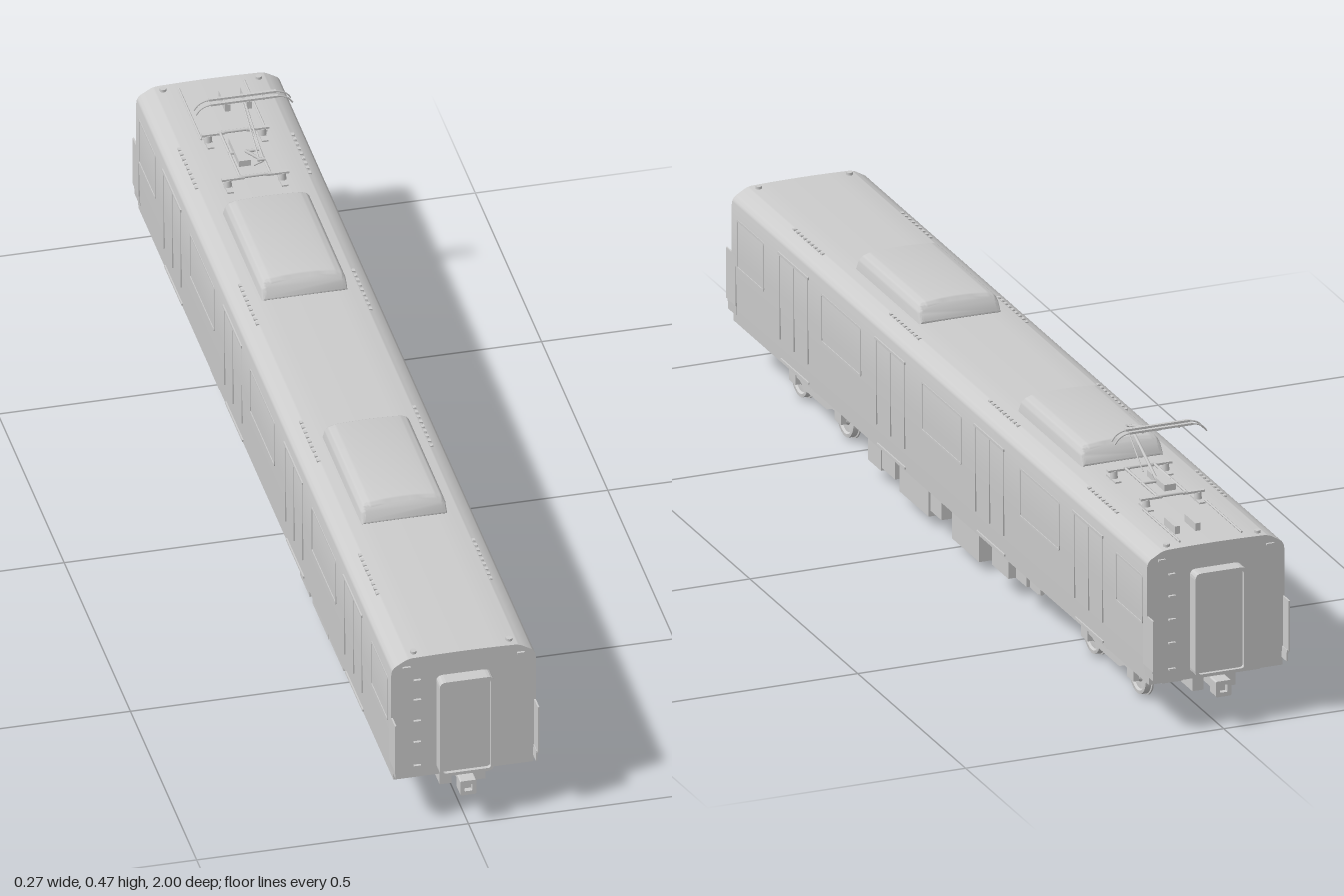
import * as THREE from 'three';
import { toCreasedNormals } from 'three/addons/utils/BufferGeometryUtils.js';

const mat = new THREE.MeshStandardMaterial({ color: 0xcccccc });
const V = (x, y, z) => new THREE.Vector3(x, y, z);

function add(parent, name, geo, x = 0, y = 0, z = 0) {
  const m = new THREE.Mesh(geo, mat);
  m.name = name;
  m.position.set(x, y, z);
  parent.add(m);
  return m;
}
// box given by its limits on each axis
function box(parent, name, x0, x1, y0, y1, z0, z1) {
  return add(parent, name, new THREE.BoxGeometry(Math.abs(x1 - x0), Math.abs(y1 - y0), Math.abs(z1 - z0)),
    (x0 + x1) / 2, (y0 + y1) / 2, (z0 + z1) / 2);
}
// round bar between two points
function rod(parent, name, a, b, r, sides = 8) {
  const d = b.clone().sub(a);
  const m = add(parent, name, new THREE.CylinderGeometry(r, r, d.length(), sides));
  m.position.copy(a).addScaledVector(d, 0.5);
  m.quaternion.setFromUnitVectors(V(0, 1, 0), d.normalize());
  return m;
}
function group(parent, name) {
  const g = new THREE.Group();
  g.name = name;
  parent.add(g);
  return g;
}
function rectShape(w, h, r) {
  const s = new THREE.Shape(), x = w / 2, y = h / 2;
  s.moveTo(-x + r, -y).lineTo(x - r, -y).quadraticCurveTo(x, -y, x, -y + r);
  s.lineTo(x, y - r).quadraticCurveTo(x, y, x - r, y).lineTo(-x + r, y);
  s.quadraticCurveTo(-x, y, -x, y - r).lineTo(-x, -y + r).quadraticCurveTo(-x, -y, -x + r, -y);
  return s;
}
function frameGeo(w, h, t, r, depth) {
  const s = rectShape(w, h, r);
  s.holes.push(rectShape(w - 2 * t, h - 2 * t, Math.max(r - t, 0.001)));
  return new THREE.ExtrudeGeometry(s, { depth, bevelEnabled: false, curveSegments: 4 });
}

// Car body: one cross-section drawn along z
function carBody(root) {
  const s = new THREE.Shape();
  s.moveTo(-0.129, 0.09).lineTo(0.129, 0.09).lineTo(0.1305, 0.13).lineTo(0.133, 0.22).lineTo(0.133, 0.312);
  s.quadraticCurveTo(0.133, 0.324, 0.125, 0.33).lineTo(0.108, 0.34).quadraticCurveTo(0.1, 0.344, 0.09, 0.344);
  s.quadraticCurveTo(0, 0.347, -0.09, 0.344);
  s.quadraticCurveTo(-0.1, 0.344, -0.108, 0.34).lineTo(-0.125, 0.33).quadraticCurveTo(-0.133, 0.324, -0.133, 0.312);
  s.lineTo(-0.133, 0.22).lineTo(-0.1305, 0.13);
  const geo = new THREE.ExtrudeGeometry(s, { depth: 1.925, bevelEnabled: false, curveSegments: 6 });
  add(root, 'carBody', toCreasedNormals(geo, 0.5), 0, 0, -0.9625);
}

// Windows, doors and roof vents of one side, built facing +x
function bodySide(root, side) {
  const g = group(root, side > 0 ? 'leftSide' : 'rightSide');
  const window = (z, w) => {
    const f = add(g, 'windowFrame', frameGeo(w, 0.095, 0.004, 0.006, 0.0015), side * 0.1325, 0.247, z);
    f.rotation.y = side * Math.PI / 2;
  };
  for (const z of [0.455, -0.01, -0.465]) window(z, 0.185);
  for (const z of [0.875, -0.88]) window(z, 0.125);
  for (const z of [0.675, 0.228, -0.232, -0.69]) {
    const a = side * 0.131, b = side * 0.1338;
    for (const e of [-0.065, 0, 0.065]) box(g, 'doorEdge', a, b, 0.135, 0.3, z + e - 0.001, z + e + 0.001);
    box(g, 'doorRail', a, side * 0.1355, 0.298, 0.303, z - 0.07, z + 0.07);
    box(g, 'doorStep', side * 0.128, side * 0.132, 0.095, 0.099, z - 0.065, z + 0.065);
    for (let i = -4; i <= 4; i++)
      box(g, 'roofVent', side * 0.101, side * 0.107, 0.34, 0.344, z + i * 0.016 - 0.004, z + i * 0.016 + 0.004);
  }
}

// One end of the car, built facing +z
function carEnd(root, name) {
  const g = group(root, name);
  // gangway with a raised rim and inset door
  add(g, 'gangwayRim', frameGeo(0.1, 0.2, 0.006, 0.012, 0.028), 0, 0.2, 0.961);
  box(g, 'gangwayDoor', -0.045, 0.045, 0.105, 0.295, 0.96, 0.982);
  for (const s of [-1, 1]) {
    box(g, 'cornerGuard', s * 0.13, s * 0.133, 0.125, 0.222, 0.945, 0.99);
    const low = box(g, 'cornerGuardFoot', s * 0.128, s * 0.131, 0.105, 0.126, 0.945, 0.985);
    low.rotation.z = s * -0.06;
    box(g, 'marker', s * 0.098, s * 0.112, 0.324, 0.328, 0.96, 0.967);
    add(g, 'roofLug', new THREE.CylinderGeometry(0.006, 0.006, 0.006, 10), s * 0.088, 0.346, 0.945);
    box(g, 'couplerBracket', s * 0.02, s * 0.042, 0.062, 0.092, 0.9, 0.955);
    box(g, 'pipeBracket', s * 0.055, s * 0.095, 0.079, 0.09, 0.9, 0.94);
  }
  for (const y of [0.115, 0.165, 0.21, 0.255, 0.297])
    box(g, 'ladderRung', -0.092, -0.079, y - 0.0015, y + 0.0015, 0.96, 0.968);
  // coupler
  box(g, 'drawbar', -0.01, 0.01, 0.069, 0.085, 0.83, 0.975);
  add(g, 'couplerHead', frameGeo(0.03, 0.03, 0.008, 0.003, 0.027), 0, 0.077, 0.973);
  box(g, 'couplerFace', -0.009, 0.009, 0.07, 0.084, 0.972, 0.99);
  box(g, 'couplerCrossbeam', -0.045, 0.045, 0.08, 0.092, 0.86, 0.93);
  return g;
}

// Rounded roof unit with sloping ends
function airConditioner(root, z0, z1) {
  const s = new THREE.Shape(), len = z1 - z0, bevel = 0.008;
  s.moveTo(-0.079, 0).lineTo(0.079, 0).lineTo(0.078, 0.018).quadraticCurveTo(0.075, 0.034, 0.058, 0.036);
  s.quadraticCurveTo(0, 0.042, -0.058, 0.036).quadraticCurveTo(-0.075, 0.034, -0.078, 0.018);
  const geo = new THREE.ExtrudeGeometry(s, {
    depth: len - 2 * bevel, bevelThickness: bevel, bevelSize: bevel, bevelOffset: -bevel, bevelSegments: 4, curveSegments: 8
  });
  geo.translate(0, 0, bevel - len / 2);
  const p = geo.attributes.position;
  for (let i = 0; i < p.count; i++) p.setZ(i, p.getZ(i) * (1 - 3.6 * p.getY(i)));
  add(root, 'airConditioner', toCreasedNormals(geo, 0.7), 0, 0.344, (z0 + z1) / 2);
}

// Two-axle bogie
function bogie(root, z) {
  const g = group(root, 'bogie');
  g.position.z = z;
  box(g, 'bolster', -0.055, 0.055, 0.055, 0.091, -0.035, 0.035);
  // tread and flange profile, turned around the axle
  const wheel = [[0.008, 0.008], [0.014, 0.008], [0.018, 0.003], [0.031, 0.003], [0.034, 0.007], [0.04, 0.007],
    [0.0405, -0.004], [0.043, -0.005], [0.043, -0.008], [0.034, -0.007], [0.031, -0.003], [0.008, -0.003]]
    .map(([r, h]) => new THREE.Vector2(r, h)).reverse();
  const wheelGeo = toCreasedNormals(new THREE.LatheGeometry(wheel, 28), 0.5);
  for (const e of [-0.106, 0.106]) {
    rod(g, 'axle', V(-0.09, 0.043, e), V(0.09, 0.043, e), 0.0085, 12);
    for (const s of [-1, 1]) {
      add(g, 'wheel', wheelGeo, s * 0.071, 0.043, e).rotation.z = -s * Math.PI / 2;
      box(g, 'axleBox', s * 0.081, s * 0.092, 0.032, 0.058, e - 0.015, e + 0.015);
    }
  }
  // side frame, dropped in the middle
  const f = new THREE.Shape();
  f.moveTo(-0.115, 0.048).lineTo(-0.075, 0.046).lineTo(-0.05, 0.036).lineTo(0.05, 0.036).lineTo(0.075, 0.046);
  f.lineTo(0.115, 0.048).lineTo(0.115, 0.062).lineTo(0.07, 0.062).lineTo(0.045, 0.056);
  f.lineTo(-0.045, 0.056).lineTo(-0.07, 0.062).lineTo(-0.115, 0.062);
  const frame = new THREE.ExtrudeGeometry(f, { depth: 0.008, bevelEnabled: false });
  for (const s of [-1, 1]) {
    add(g, 'sideFrame', frame, s * 0.086 - 0.004, 0, 0).rotation.y = Math.PI / 2;
    rod(g, 'airSpring', V(s * 0.08, 0.055, 0), V(s * 0.08, 0.091, 0), 0.019, 16);
  }
}

// Equipment boxes: [side, bottom y, z0, z1]
function underfloor(root) {
  const g = group(root, 'underfloorEquipment');
  const boxes = [
    [1, 0.035, 0.265, 0.325], [1, 0.028, 0.33, 0.39], [1, 0.02, 0.11, 0.245], [1, 0.035, 0.05, 0.1],
    [1, 0.018, -0.125, 0], [1, 0.035, -0.26, -0.185], [1, 0.05, -0.345, -0.295], [1, 0.055, -0.4, -0.36],
    [-1, 0.025, 0.39, 0.5], [-1, 0.022, 0.265, 0.388], [-1, 0.022, 0.17, 0.245],
    [-1, 0.035, -0.365, -0.3], [-1, 0.035, -0.43, -0.37], [-1, 0.03, -0.505, -0.44]];
  for (const [s, y, z0, z1] of boxes) box(g, 'equipmentBox', s * 0.05, s * 0.108, y, 0.091, z0, z1);
  box(g, 'sidePanel', 0.11, 0.117, 0.066, 0.091, -0.43, -0.41);
}

// Single-arm current collector
function pantograph(root) {
  const g = group(root, 'pantograph');
  const zf = -0.61, zb = -0.76;
  for (const s of [-1, 1]) {
    for (const z of [zf, zb]) {
      add(g, 'insulator', new THREE.CylinderGeometry(0.006, 0.008, 0.018, 10), s * 0.05, 0.352, z);
      box(g, 'insulatorArm', s * 0.02, s * 0.062, 0.36, 0.364, z - 0.004, z + 0.004);
      box(g, 'insulatorFoot', s * 0.044, s * 0.056, 0.343, 0.348, z - 0.022, z + 0.022);
    }
    rod(g, 'baseRail', V(s * 0.028, 0.363, zf), V(s * 0.028, 0.363, zb), 0.0025);
    rod(g, 'upperArm', V(s * 0.004, 0.425, -0.565), V(s * 0.002, 0.465, -0.7), 0.0017);
    box(g, 'roofSwitch', s * 0.02 + 0.023, s * 0.02 + 0.033, 0.343, 0.36, -0.9, -0.85);
    rod(g, 'roofCable', V(s * 0.06, 0.347, -0.77), V(s * 0.06, 0.347, -0.94), 0.002);
  }
  for (const z of [zf, -0.69, zb]) rod(g, 'baseCrossbar', V(-0.03, 0.363, z), V(0.03, 0.363, z), 0.003);
  box(g, 'springBox', -0.02, 0.002, 0.358, 0.37, -0.73, -0.65);
  rod(g, 'lowerArm', V(0, 0.365, -0.69), V(0, 0.425, -0.565), 0.003);
  rod(g, 'controlRod', V(0.006, 0.364, -0.64), V(0.006, 0.418, -0.57), 0.0013);
  rod(g, 'elbow', V(-0.007, 0.425, -0.565), V(0.007, 0.425, -0.565), 0.003);
  // contact strips with drooping horns
  const horn = new THREE.CatmullRomCurve3([V(-0.089, 0.453, 0), V(-0.08, 0.464, 0), V(-0.065, 0.47, 0), V(0, 0.471, 0),
    V(0.065, 0.47, 0), V(0.08, 0.464, 0), V(0.089, 0.453, 0)]);
  for (const z of [-0.692, -0.708]) {
    add(g, 'headHorn', new THREE.TubeGeometry(horn, 32, 0.0016, 6), 0, 0, z);
    box(g, 'contactStrip', -0.062, 0.062, 0.469, 0.473, z - 0.003, z + 0.003);
  }
  for (const x of [-0.035, 0.035]) rod(g, 'headTie', V(x, 0.468, -0.71), V(x, 0.468, -0.69), 0.0015);
  rod(g, 'headBar', V(-0.035, 0.467, -0.7), V(0.035, 0.467, -0.7), 0.002);
}

export function createModel() {
  const root = new THREE.Group();
  root.name = 'railcar';
  carBody(root);
  bodySide(root, 1);
  bodySide(root, -1);
  carEnd(root, 'frontEnd');
  carEnd(root, 'rearEnd').rotation.y = Math.PI;
  airConditioner(root, 0.216, 0.522);
  airConditioner(root, -0.536, -0.23);
  bogie(root, 0.675);
  bogie(root, -0.68);
  underfloor(root);
  pantograph(root);
  return root;
}
